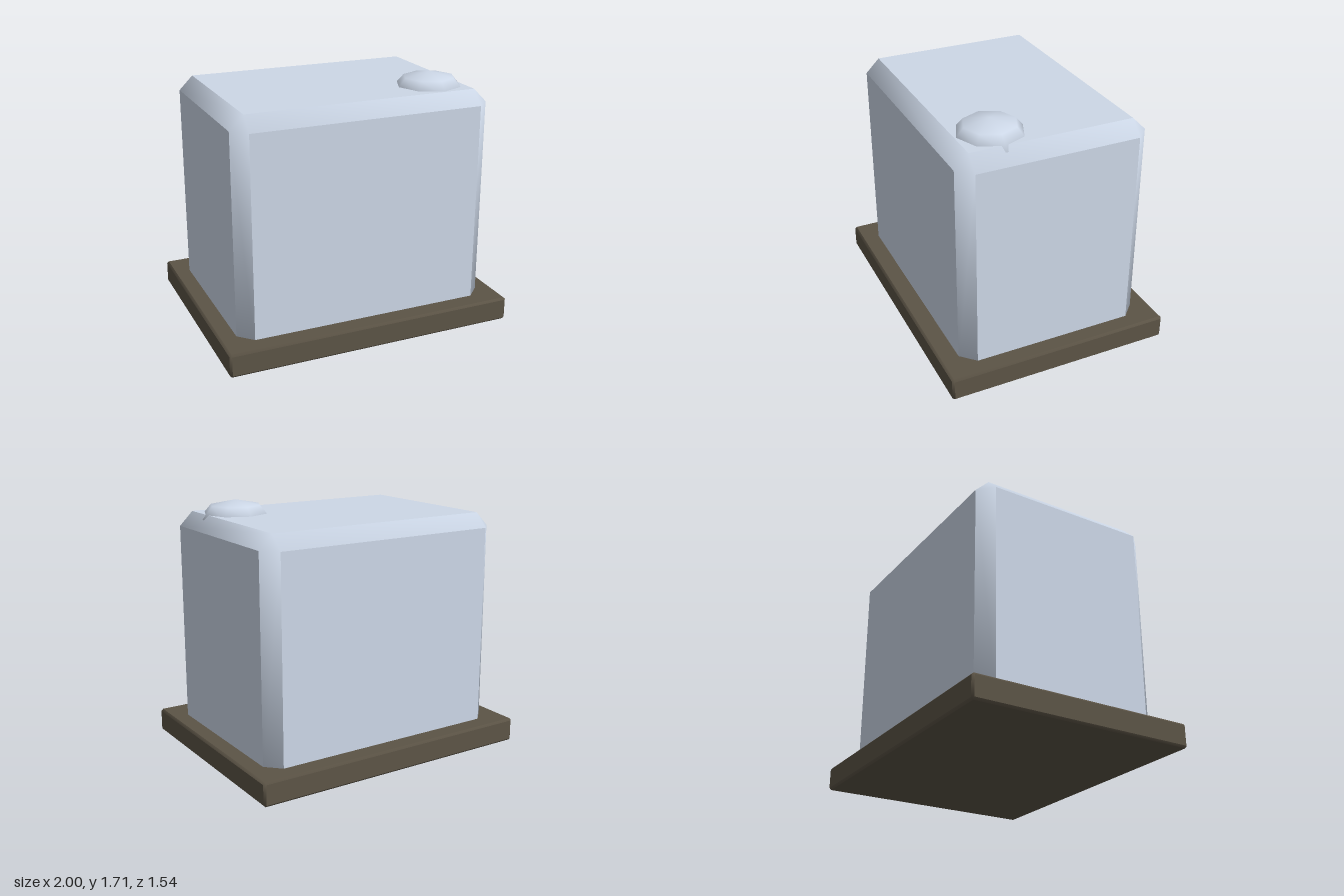
import * as THREE from 'three';
import { ConvexGeometry } from 'three/addons/geometries/ConvexGeometry.js';

// Box with single-step bevels: flat main faces, bevels shaded smoothly into each other
function bevelBox(w, h, d, bevel) {
  const half = [w / 2, h / 2, d / 2];
  const points = [];
  for (let axis = 0; axis < 3; axis++)
    for (const sx of [-1, 1]) for (const sy of [-1, 1]) for (const sz of [-1, 1]) {
      const p = [sx, sy, sz].map((s, i) => s * (half[i] - (i === axis ? 0 : bevel)));
      points.push(new THREE.Vector3(...p));
    }
  const geometry = new ConvexGeometry(points);
  const pos = geometry.attributes.position;
  const normal = geometry.attributes.normal;
  const n = new THREE.Vector3();
  for (let i = 0; i < pos.count; i++) {
    n.fromBufferAttribute(normal, i);
    const onMainFace = Math.max(Math.abs(n.x), Math.abs(n.y), Math.abs(n.z)) > 0.99;
    if (onMainFace) continue;
    const p = [pos.getX(i), pos.getY(i), pos.getZ(i)];
    n.set(...p.map((v, k) => Math.sign(v) * (Math.abs(v) > half[k] - bevel / 2 ? 2 : 1.3)));
    n.normalize();
    normal.setXYZ(i, n.x, n.y, n.z);
  }
  return geometry;
}

export function createModel() {
  const group = new THREE.Group();
  const material = (name, color) => {
    const m = new THREE.MeshStandardMaterial({ color });
    m.name = name;
    return m;
  };
  const paleGrey = material('paleGrey', 0xcfdaea);
  const brown = material('brown', 0x5c5446);
  const rust = material('rust', 0xa0482b);

  const add = (name, geometry, mat, x, y, z) => {
    const mesh = new THREE.Mesh(geometry, mat);
    mesh.name = name;
    mesh.position.set(x, y, z);
    group.add(mesh);
    return mesh;
  };

  // Base slab, and the block that runs right down through it
  add('baseSlab', bevelBox(2, 0.162, 1.545, 0.014), brown, 0, 0.081, 0);
  add('block', bevelBox(1.77, 1.615, 1.29, 0.094), paleGrey, 0, 0.8075, 0);

  // Low dome sunk into the top, near one corner
  const dome = add('dome', new THREE.SphereGeometry(1, 8, 4), paleGrey, 0.58, 1.585, 0.32);
  dome.scale.set(0.245, 0.12, 0.245);

  // Sheet flush with the underside
  add('undersideSheet', new THREE.PlaneGeometry(1.972, 1.517).rotateX(Math.PI / 2), rust, 0, 0, 0);

  return group;
}
